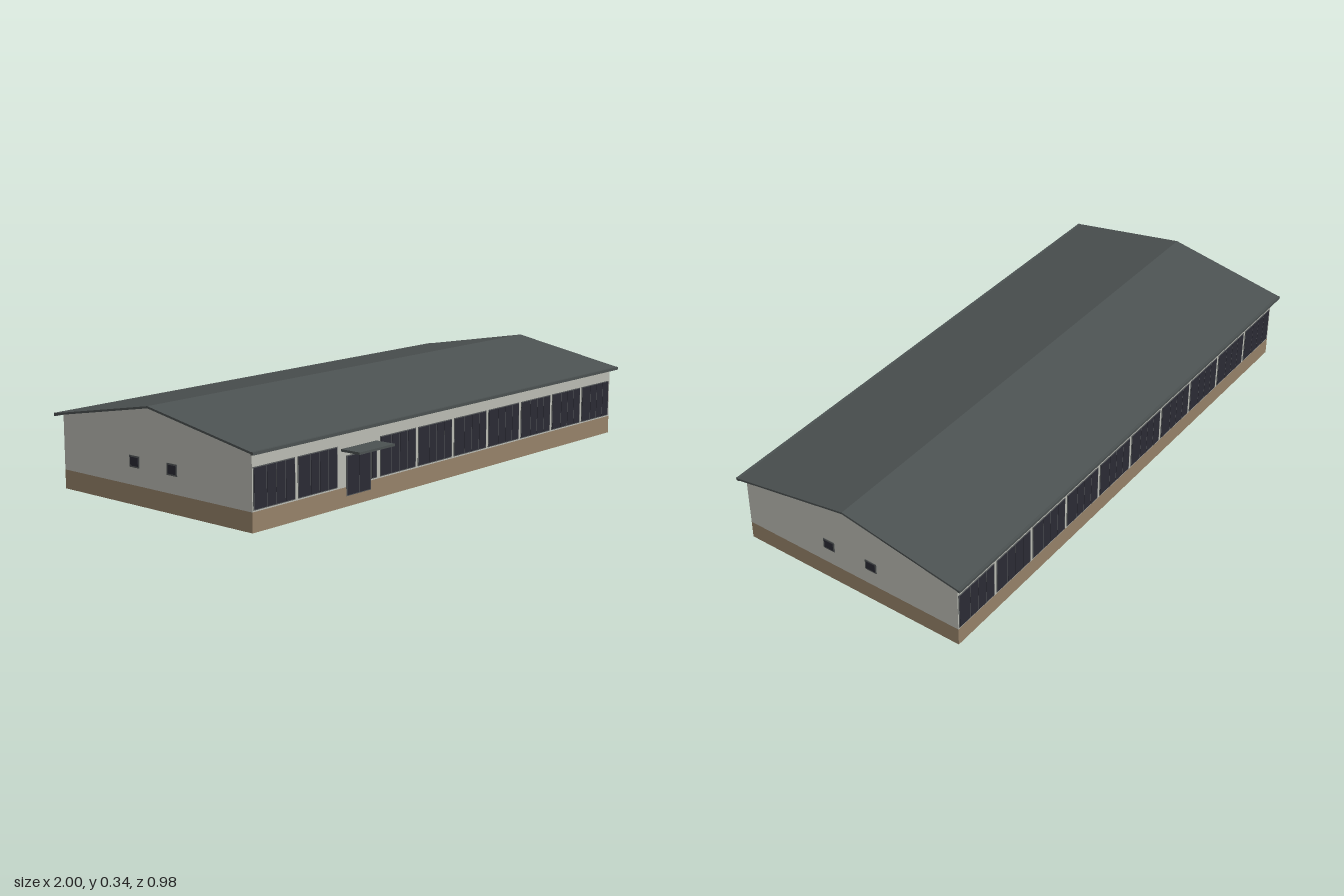
import * as THREE from 'three';

const mat = (name, color) => {
  const m = new THREE.MeshStandardMaterial({ color });
  m.name = name;
  return m;
};

export function createModel() {
  const roofGrey = mat('roofGrey', 0x4c5252);
  const wallGrey = mat('wallGrey', 0xbcbdb5);
  const plinthTan = mat('plinthTan', 0x97836a);
  const glassDark = mat('glassDark', 0x2b2b35);
  const frameGrey = mat('frameGrey', 0x56595a);

  const model = new THREE.Group();
  model.name = 'longHall';

  const X = 0.98, FRONT = 0.413, BACK = -0.46, MID = (FRONT + BACK) / 2;
  const T = 0.016, PLINTH = 0.065, RIDGE = 0.338, SLOPE = 0.179, ROOF_T = 0.007;
  const HALF = (FRONT - BACK) / 2, EAVE = 0.458;
  const roofY = d => RIDGE - SLOPE * d;

  function add(name, geometry, material, parent = model) {
    const mesh = new THREE.Mesh(geometry, material);
    mesh.name = name;
    parent.add(mesh);
    return mesh;
  }
  // Box given by its limits on each axis
  function box(name, [x0, x1], [y0, y1], [z0, z1], material, parent) {
    const mesh = add(name, new THREE.BoxGeometry(x1 - x0, y1 - y0, z1 - z0), material, parent);
    mesh.position.set((x0 + x1) / 2, (y0 + y1) / 2, (z0 + z1) / 2);
    return mesh;
  }
  // Cross-section [distance from ridge line, y], extruded along x
  function section(name, points, x0, x1, material) {
    const shape = new THREE.Shape(points.map(([d, y]) => new THREE.Vector2(d, y)));
    const geometry = new THREE.ExtrudeGeometry(shape, { depth: x1 - x0, bevelEnabled: false });
    const mesh = add(name, geometry.rotateY(Math.PI / 2), material);
    mesh.position.set(x0, 0, MID);
  }

  // Hollow plinth ring, open underneath
  const rectangle = (Path, x, z) => new Path([[-x, -z], [x, -z], [x, z], [-x, z]]
    .map(p => new THREE.Vector2(...p)));
  const ring = rectangle(THREE.Shape, X, HALF);
  ring.holes.push(rectangle(THREE.Path, X - T, HALF - T));
  const plinth = add('plinth', new THREE.ExtrudeGeometry(ring, { depth: PLINTH, bevelEnabled: false })
    .rotateX(-Math.PI / 2), plinthTan);
  plinth.position.z = MID;

  // Long walls and gable walls
  const wallTop = roofY(HALF) - ROOF_T;
  box('frontWall', [-X + T, X - T], [PLINTH, wallTop], [FRONT - T, FRONT], wallGrey);
  box('backWall', [-X + T, X - T], [PLINTH, wallTop], [BACK, BACK + T], wallGrey);
  const gable = [[-HALF, PLINTH], [HALF, PLINTH], [HALF, wallTop], [0, RIDGE - ROOF_T], [-HALF, wallTop]];
  section('leftGable', gable, X - T, X, wallGrey);
  section('rightGable', gable, -X, -X + T, wallGrey);

  // Thin pitched roof with a fascia along each eave
  section('roof', [
    [-EAVE, roofY(EAVE) - ROOF_T], [0, RIDGE - ROOF_T], [EAVE, roofY(EAVE) - ROOF_T],
    [EAVE, roofY(EAVE)], [0, RIDGE], [-EAVE, roofY(EAVE)],
  ], -1, 1, roofGrey);
  for (const s of [-1, 1]) {
    const z = MID + s * (EAVE - 0.001);
    box(s > 0 ? 'frontGutter' : 'backGutter', [-1, 1], [0.247, 0.257], [z - 0.005, z + 0.005], roofGrey);
  }

  // Framed window facing +z on z = 0, with panes at the given width fractions
  function glazing(name, x0, x1, y0, y1, fractions, rim = 0.003) {
    const group = new THREE.Group();
    group.name = name;
    box('frame', [x0, x1], [y0, y1], [-0.001, 0.002], frameGrey, group);
    const total = x1 - x0 - rim;
    let x = x0 + rim;
    for (const f of fractions) {
      box('pane', [x, x + f * total - rim], [y0 + rim, y1 - rim], [0.001, 0.003], glassDark, group);
      x += f * total;
    }
    return group;
  }

  // Window bands on both long sides; the third front bay holds the entrance
  const front = new THREE.Group(), back = new THREE.Group();
  front.name = 'frontGlazing';
  back.name = 'backGlazing';
  front.position.z = FRONT;
  back.position.z = BACK;
  back.rotation.y = Math.PI;
  model.add(front, back);
  for (let i = 0; i < 10; i++) {
    const x = -0.976 + i * 0.196;
    for (const side of [front, back]) {
      if (side === front && i === 2) continue;
      side.add(glazing('window', x, x + 0.183, 0.07, 0.204, [0.31, 0.23, 0.23, 0.23]));
    }
  }

  // Entrance with double door, sidelight and canopy
  front.add(glazing('door', -0.554, -0.435, 0.035, 0.168, [0.5, 0.5]));
  front.add(glazing('sidelight', -0.432, -0.405, 0.07, 0.168, [1]));
  box('canopy', [-0.578, -0.405], [0.185, 0.193], [FRONT - 0.002, 0.49], roofGrey);

  // Two small windows in each gable
  for (const s of [-1, 1]) {
    for (const z of [0.063, -0.112]) {
      const window = glazing('gableWindow', -0.023, 0.023, 0.124, 0.163, [1], 0.005);
      window.position.set(s * X, 0, z);
      window.rotation.y = s * Math.PI / 2;
      model.add(window);
    }
  }

  return model;
}
